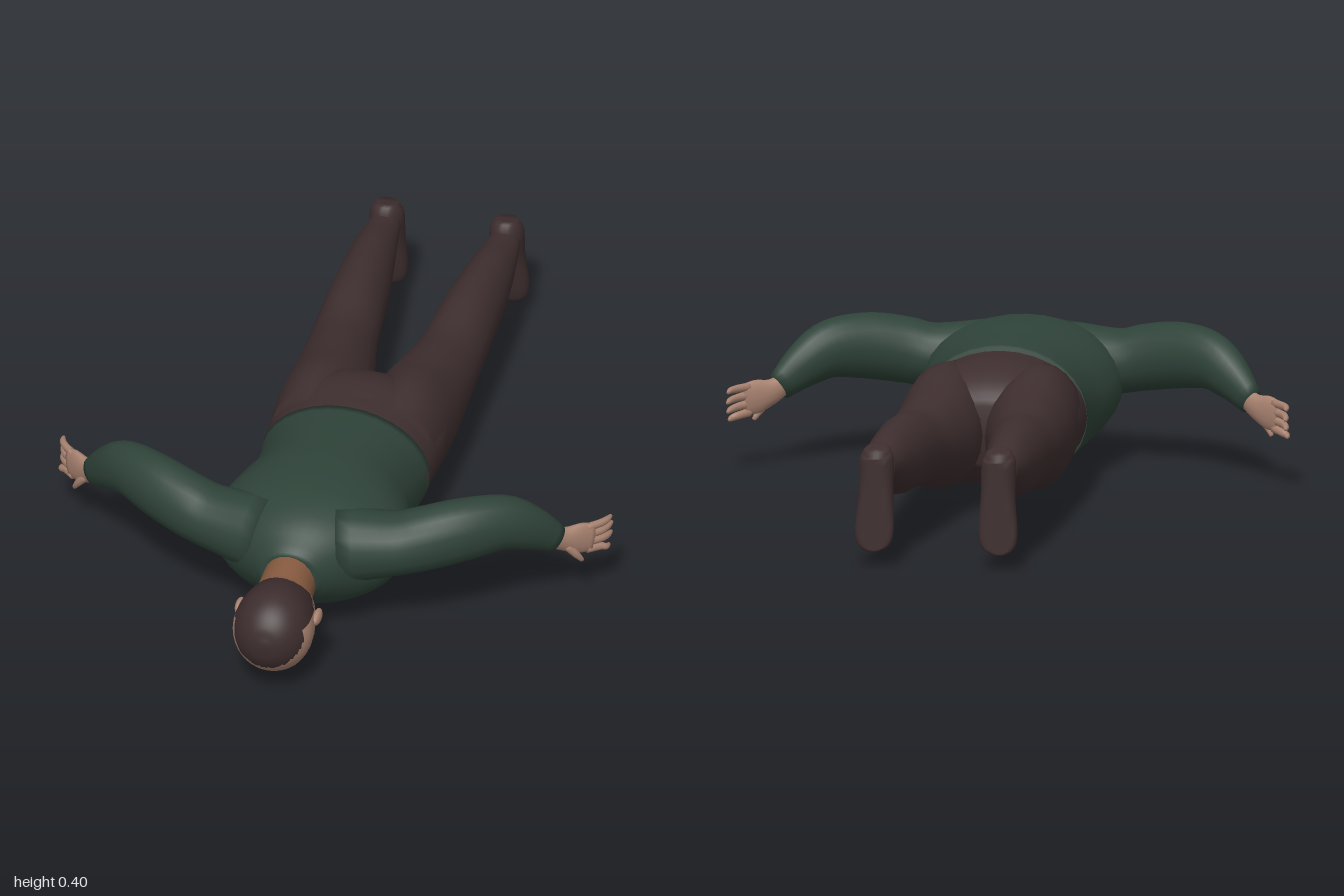
import * as THREE from 'three';

const mat = (name, color) => {
  const m = new THREE.MeshStandardMaterial({ color });
  m.name = name;
  return m;
};

// Smooth closed loft through elliptical sections [x, y, z, halfWidth, halfHeight].
// "up" sets the direction of the half height; "rule" may adjust each vertex.
function loft(sections, { sides = 20, steps = 4, up = [0, 1, 0], rule = null } = {}) {
  const smooth = pts => new THREE.CatmullRomCurve3(pts, false, 'catmullrom', 0.5);
  const path = smooth(sections.map(s => new THREE.Vector3(s[0], s[1], s[2])));
  const size = smooth(sections.map(s => new THREE.Vector3(s[3], s[4], 0)));
  const rings = (sections.length - 1) * steps;
  const ref = new THREE.Vector3(...up);
  const pos = [], index = [];
  const push = p => { if (rule) rule(p); pos.push(p.x, p.y, p.z); };
  for (let i = 0; i <= rings; i++) {
    const c = path.getPoint(i / rings), r = size.getPoint(i / rings);
    const t = path.getTangent(i / rings);
    const v = ref.clone().addScaledVector(t, -ref.dot(t)).normalize();
    const u = v.clone().cross(t);
    for (let j = 0; j < sides; j++) {
      const a = j / sides * Math.PI * 2;
      push(c.clone()
        .addScaledVector(u, Math.max(r.x, 0.001) * Math.cos(a))
        .addScaledVector(v, Math.max(r.y, 0.001) * Math.sin(a)));
    }
  }
  for (let i = 0; i < rings; i++) {
    for (let j = 0; j < sides; j++) {
      const k = (j + 1) % sides, a = i * sides, b = a + sides;
      index.push(a + j, a + k, b + k, a + j, b + k, b + j);
    }
  }
  // End caps
  const first = rings * sides + sides, last = rings * sides;
  push(path.getPoint(0));
  push(path.getPoint(1));
  for (let j = 0; j < sides; j++) {
    const k = (j + 1) % sides;
    index.push(first, k, j, first + 1, last + j, last + k);
  }
  const g = new THREE.BufferGeometry();
  g.setAttribute('position', new THREE.Float32BufferAttribute(pos, 3));
  g.setIndex(index);
  g.computeVertexNormals();
  return g;
}

// Reorders the faces so those passing the test use the second material.
function splitFaces(g, test) {
  const idx = g.index.array, p = g.attributes.position, parts = [[], []];
  for (let i = 0; i < idx.length; i += 3) {
    const f = [idx[i], idx[i + 1], idx[i + 2]];
    const mean = axis => f.reduce((s, n) => s + p.getComponent(n, axis), 0) / 3;
    parts[test(mean(0), mean(1), mean(2)) ? 1 : 0].push(...f);
  }
  g.setIndex([...parts[0], ...parts[1]]);
  g.addGroup(0, parts[0].length, 0);
  g.addGroup(parts[0].length, parts[1].length, 1);
  return g;
}

export function createModel() {
  const root = new THREE.Group();
  root.name = 'lyingFigure';
  const shirt = mat('shirtGreen', 0x2f4339);
  const pants = mat('trouserBrown', 0x3e2e2f);
  const hair = mat('hairBrown', 0x3c2c2d);
  const skin = mat('skin', 0xa88270);
  const neckSkin = mat('neckSkin', 0x85593f);
  const add = (name, geometry, material, parent = root) => {
    const m = new THREE.Mesh(geometry, material);
    m.name = name;
    parent.add(m);
    return m;
  };

  // Torso, waist to collar
  add('torso', loft([
    [0, 0.203, 0.115, 0.232, 0.187], [0, 0.2, 0.2, 0.222, 0.195],
    [0, 0.203, 0.3, 0.228, 0.197], [0, 0.212, 0.4, 0.255, 0.194],
    [0, 0.222, 0.48, 0.268, 0.184], [0, 0.23, 0.56, 0.25, 0.168],
    [0, 0.235, 0.63, 0.19, 0.14], [0, 0.235, 0.69, 0.12, 0.098],
    [0, 0.233, 0.725, 0.075, 0.068],
  ], { sides: 32 }), shirt);

  // Hips
  add('hips', loft([
    [0, 0.204, 0.135, 0.23, 0.174], [0, 0.208, 0.05, 0.235, 0.174],
    [0, 0.214, -0.04, 0.238, 0.168], [0, 0.212, -0.12, 0.225, 0.135],
    [0, 0.208, -0.18, 0.14, 0.08],
  ], { sides: 32 }), pants);

  // Neck
  add('neck', loft([
    [0, 0.225, 0.65, 0.085, 0.088], [0, 0.217, 0.72, 0.072, 0.084],
    [0, 0.202, 0.8, 0.078, 0.082],
  ]), neckSkin);

  // Head, face down, with the hair as a second colour
  const head = loft([
    [0, 0.095, 0.73, 0.03, 0.025], [0, 0.118, 0.755, 0.068, 0.06],
    [0, 0.16, 0.8, 0.092, 0.106], [0, 0.174, 0.86, 0.106, 0.121],
    [0, 0.178, 0.915, 0.106, 0.115], [0, 0.181, 0.96, 0.084, 0.089],
    [0, 0.183, 0.988, 0.05, 0.052], [0, 0.184, 0.999, 0.012, 0.012],
  ], { sides: 36, steps: 6 });
  const isHair = (x, y, z) => z > 0.785 && y > (z < 0.93 ? 0.215 : 0.215 - (z - 0.93) * 2.2);
  add('head', splitFaces(head, isHair), [skin, hair]);
  add('nose', loft([
    [0, 0.062, 0.88, 0.009, 0.01], [0, 0.05, 0.835, 0.016, 0.014],
    [0, 0.058, 0.818, 0.012, 0.008],
  ], { sides: 10 }), skin);
  add('mouth', loft([
    [-0.032, 0.076, 0.782, 0.005, 0.005], [0, 0.061, 0.785, 0.011, 0.012],
    [0.032, 0.076, 0.782, 0.005, 0.005],
  ], { sides: 8 }), neckSkin);

  for (const s of [1, -1]) {
    const side = s > 0 ? 'left' : 'right';
    const limb = (sections, options) =>
      loft(sections.map(([x, ...rest]) => [x * s, ...rest]), options);

    // Ear
    const ear = add(side + 'Ear', new THREE.SphereGeometry(1, 12, 8), skin);
    ear.scale.set(0.012, 0.02, 0.032);
    ear.position.set(s * 0.107, 0.195, 0.835);

    // Sleeve, shoulder to wrist
    add(side + 'Sleeve', limb([
      [0.1, 0.265, 0.585, 0.1, 0.11], [0.25, 0.275, 0.555, 0.088, 0.088],
      [0.33, 0.292, 0.535, 0.08, 0.09], [0.42, 0.308, 0.495, 0.073, 0.09],
      [0.51, 0.308, 0.438, 0.062, 0.08], [0.575, 0.273, 0.392, 0.05, 0.064],
      [0.638, 0.218, 0.344, 0.028, 0.04],
    ]), shirt);

    // Hand with four curled fingers and a thumb
    const hand = new THREE.Group();
    hand.name = side + 'Hand';
    root.add(hand);
    add('palm', limb([
      [0.622, 0.228, 0.354, 0.022, 0.028], [0.655, 0.208, 0.325, 0.02, 0.035],
      [0.69, 0.199, 0.299, 0.016, 0.046], [0.722, 0.193, 0.275, 0.011, 0.043],
    ], { sides: 14 }), skin, hand);
    for (let i = 0; i < 4; i++) {
      const y = 0.227 - i * 0.023, tip = 0.226 - i * 0.026;
      const reach = [0.01, 0, 0.006, 0.03][i];
      add('finger', limb([
        [0.708, y, 0.286, 0.01, 0.012], [0.737, (y + tip) / 2, 0.255, 0.01, 0.011],
        [0.75, tip, 0.225 + reach * 0.7, 0.009, 0.009],
        [0.754, tip - 0.002, 0.2 + reach, 0.005, 0.005],
      ], { sides: 8, steps: 3 }), skin, hand);
    }
    add('thumb', limb([
      [0.66, 0.19, 0.325, 0.014, 0.014], [0.684, 0.16, 0.317, 0.011, 0.011],
      [0.7, 0.134, 0.305, 0.006, 0.006],
    ], { sides: 8, steps: 3, up: [0, 0, 1] }), skin, hand);

    // Trouser leg
    add(side + 'Leg', limb([
      [0.12, 0.21, 0.06, 0.108, 0.15], [0.125, 0.215, -0.06, 0.112, 0.16],
      [0.122, 0.207, -0.18, 0.118, 0.147], [0.133, 0.21, -0.3, 0.104, 0.125],
      [0.145, 0.218, -0.42, 0.091, 0.102], [0.152, 0.232, -0.55, 0.083, 0.102],
      [0.158, 0.238, -0.68, 0.074, 0.097], [0.163, 0.25, -0.8, 0.062, 0.076],
      [0.165, 0.258, -0.88, 0.051, 0.052], [0.165, 0.262, -0.94, 0.043, 0.042],
    ]), pants);

    // Shoe, toes down with a flat sole
    add(side + 'Shoe', limb([
      [0.165, 0.32, -0.965, 0.03, 0.028], [0.165, 0.29, -0.958, 0.046, 0.052],
      [0.165, 0.2, -0.972, 0.047, 0.042], [0.167, 0.11, -0.985, 0.053, 0.036],
      [0.169, 0.065, -0.988, 0.045, 0.025], [0.169, 0.045, -0.988, 0.02, 0.012],
    ], { up: [0, 0, 1], rule: p => { p.z = Math.max(p.z, -1); } }), pants);
  }
  return root;
}
